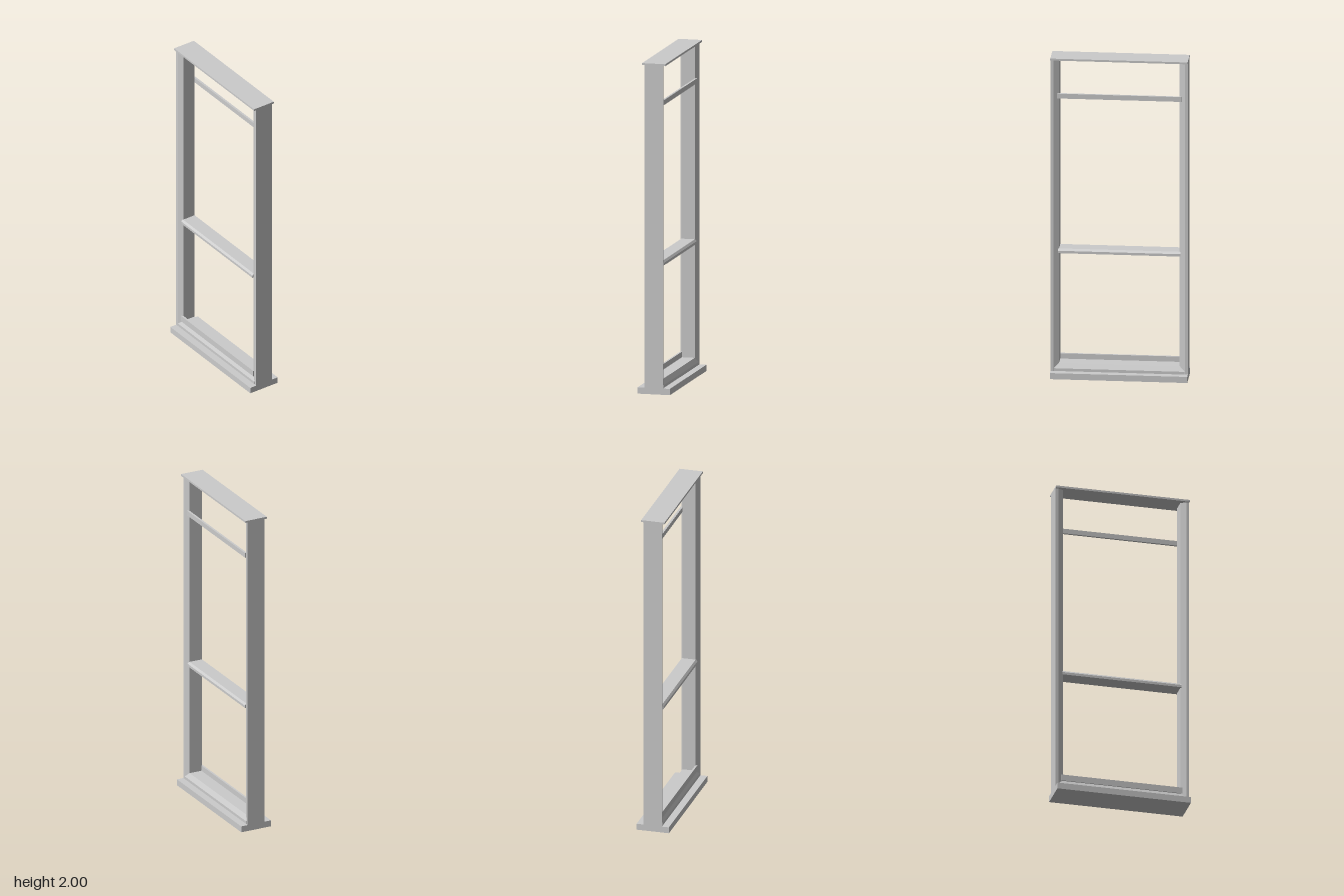
import * as THREE from 'three';

const grey = new THREE.MeshStandardMaterial({ color: 0xcccccc });

export function createModel() {
  const model = new THREE.Group();

  const add = (name, geometry) => {
    const mesh = new THREE.Mesh(geometry, grey);
    mesh.name = name;
    model.add(mesh);
    return mesh;
  };

  // box given by its lower and upper corners
  const box = (name, x0, x1, y0, y1, z0, z1) => {
    const g = new THREE.BoxGeometry(x1 - x0, y1 - y0, z1 - z0);
    g.translate((x0 + x1) / 2, (y0 + y1) / 2, (z0 + z1) / 2);
    return add(name, g);
  };

  const prism = (points, length) => new THREE.ExtrudeGeometry(
    new THREE.Shape(points.map(([x, y]) => new THREE.Vector2(x, y))),
    { depth: length, bevelEnabled: false });

  // frame section: full width outside, chamfered toward the opening
  const section = (outer, shoulder, inner) => [
    [-0.057, outer], [0.057, outer], [0.057, shoulder],
    [0.041, inner], [-0.041, inner], [-0.057, shoulder]];

  // side posts, mirrored front and back
  for (const side of [1, -1]) {
    const g = prism(section(-0.41, -0.393, -0.36), 1.955);
    g.rotateX(-Math.PI / 2);
    if (side < 0) g.rotateY(Math.PI);
    g.translate(0, 0.035, 0);
    add(side > 0 ? 'frontPost' : 'backPost', g);
  }

  // bottom member of the frame
  const sill = prism(section(0.035, 0.055, 0.085), 0.78);
  sill.translate(0, 0, -0.39);
  add('sill', sill);

  // middle rail with lightly chamfered upper edges
  const rail = prism([[-0.052, 0.775], [0.052, 0.775], [0.052, 0.79],
    [0.042, 0.802], [-0.042, 0.802], [-0.052, 0.79]], 0.73);
  rail.translate(0, 0, -0.365);
  add('middleRail', rail);

  // thin strips on opposite faces of the frame
  box('upperRail', 0.04, 0.053, 1.745, 1.775, -0.37, 0.37);
  box('lowerStrip', -0.05, -0.038, 0.08, 0.118, -0.37, 0.37);

  // floor plate and cap
  box('basePlate', -0.1, 0.1, 0, 0.038, -0.41, 0.41);
  box('topPlate', -0.072, 0.072, 1.988, 2, -0.41, 0.41);

  return model;
}
